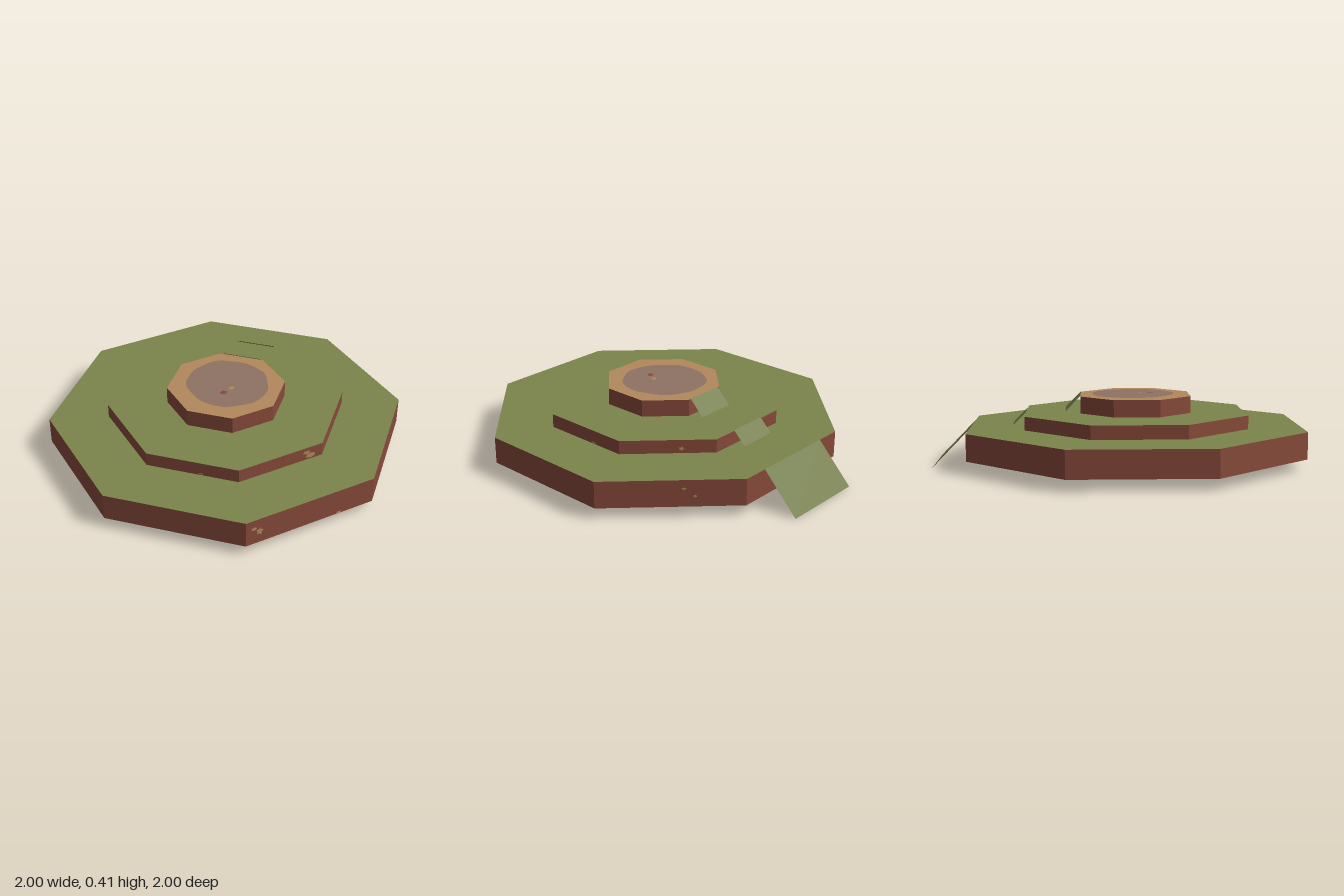
import * as THREE from 'three';

const material = (name, color) => {
  const m = new THREE.MeshStandardMaterial({ color });
  m.name = name;
  return m;
};

export function createModel() {
  const model = new THREE.Group();
  model.name = 'terracedMound';
  const grass = material('grassGreen', 0x7b844c);
  const earth = material('earthBrown', 0x86493a);
  const sand = material('sandTan', 0xb3885c);
  const ash = material('ashMauve', 0x8f7265);
  const rampGrass = material('rampGreen', 0x737c48);
  rampGrass.side = THREE.DoubleSide;
  const cx = -0.025, cz = 0.02;

  // Stacked octagonal terraces: [name, apothem, bottom, top, top colour]
  const tiers = [
    ['lowerTerrace', 0.975, 0.067, 0.225, grass],
    ['middleTerrace', 0.65, 0.225, 0.305, grass],
    ['upperTerrace', 0.325, 0.305, 0.405, sand],
  ];
  for (const [name, apothem, y0, y1, top] of tiers) {
    const r = apothem / Math.cos(Math.PI / 8);
    const geo = new THREE.CylinderGeometry(r, r, y1 - y0, 8).rotateY(Math.PI / 8).toNonIndexed();
    geo.computeVertexNormals();
    const mesh = new THREE.Mesh(geo, [earth, top, grass]);
    mesh.name = name;
    mesh.position.set(cx, (y0 + y1) / 2, cz);
    model.add(mesh);
  }

  // Thin sloping ramps on the back left diagonal: [name, start radius, run, width, top, bottom]
  const ramps = [
    ['lowerRamp', 0.975, 0.215, 0.505, 0.225, 0.003],
    ['middleRamp', 0.65, 0.077, 0.24, 0.31, 0.235],
    ['upperRamp', 0.325, 0.09, 0.24, 0.408, 0.318],
  ];
  for (const [name, start, run, width, top, bottom] of ramps) {
    const w = width / 2;
    const geo = new THREE.BufferGeometry();
    geo.setAttribute('position', new THREE.Float32BufferAttribute([
      start, top, -w, start, top, w, start + run, bottom, w, start + run, bottom, -w], 3));
    geo.setIndex([0, 1, 2, 0, 2, 3]);
    geo.computeVertexNormals();
    const mesh = new THREE.Mesh(geo, rampGrass);
    mesh.name = name;
    mesh.position.set(cx, 0, cz);
    mesh.rotation.y = Math.PI / 4;
    model.add(mesh);
  }

  // Irregular flat patch facing +z
  const patch = (rx, ry, wobble, n, seed) => {
    const points = [];
    for (let i = 0; i < n; i++) {
      const a = (i / n) * Math.PI * 2;
      const k = 1 + wobble * (Math.sin(a * 5 + seed) * 0.6 + Math.sin(a * 9 + seed * 2) * 0.4);
      points.push(new THREE.Vector2(Math.cos(a) * rx * k, Math.sin(a) * ry * k));
    }
    return new THREE.ShapeGeometry(new THREE.Shape(points));
  };

  // Ash bed and scattered chips on the summit
  const summit = [
    ['ashBed', ash, 0.24, 0.25, 0.025, 72, -0.012, 0.408, 0.014],
    ['earthChip', earth, 0.022, 0.018, 0.3, 10, -0.085, 0.411, 0.095],
    ['sandChip', sand, 0.02, 0.014, 0.2, 10, -0.02, 0.411, 0.075],
  ];
  for (const [name, mat, rx, ry, wobble, n, x, y, z] of summit) {
    const mesh = new THREE.Mesh(patch(rx, ry, wobble, n, 1), mat);
    mesh.name = name;
    mesh.rotation.x = -Math.PI / 2;
    mesh.position.set(x, y, z);
    model.add(mesh);
  }

  // Sandy flecks on the walls: [wall, apothem, offset along wall, y, half width, half height]
  const flecks = [
    [0, 0.975, -0.355, 0.17, 0.016, 0.01], [0, 0.975, -0.32, 0.143, 0.018, 0.02],
    [0, 0.975, 0.18, 0.076, 0.016, 0.007], [0, 0.65, 0.165, 0.275, 0.022, 0.012],
    [0, 0.65, 0.192, 0.25, 0.03, 0.016], [1, 0.65, 0.07, 0.233, 0.02, 0.006],
    [7, 0.65, 0.05, 0.235, 0.016, 0.006], [2, 0.65, 0.075, 0.253, 0.014, 0.011],
    [2, 0.975, 0.07, 0.175, 0.012, 0.006], [2, 0.975, 0.13, 0.13, 0.008, 0.008],
  ];
  flecks.forEach(([wall, apothem, u, y, rx, ry], i) => {
    const geo = patch(rx, ry, 0.35, 14, i).translate(u, y, apothem + 0.002);
    const mesh = new THREE.Mesh(geo, sand);
    mesh.name = 'wallFleck' + (i + 1);
    mesh.position.set(cx, 0, cz);
    mesh.rotation.y = wall * Math.PI / 4;
    model.add(mesh);
  });
  return model;
}
